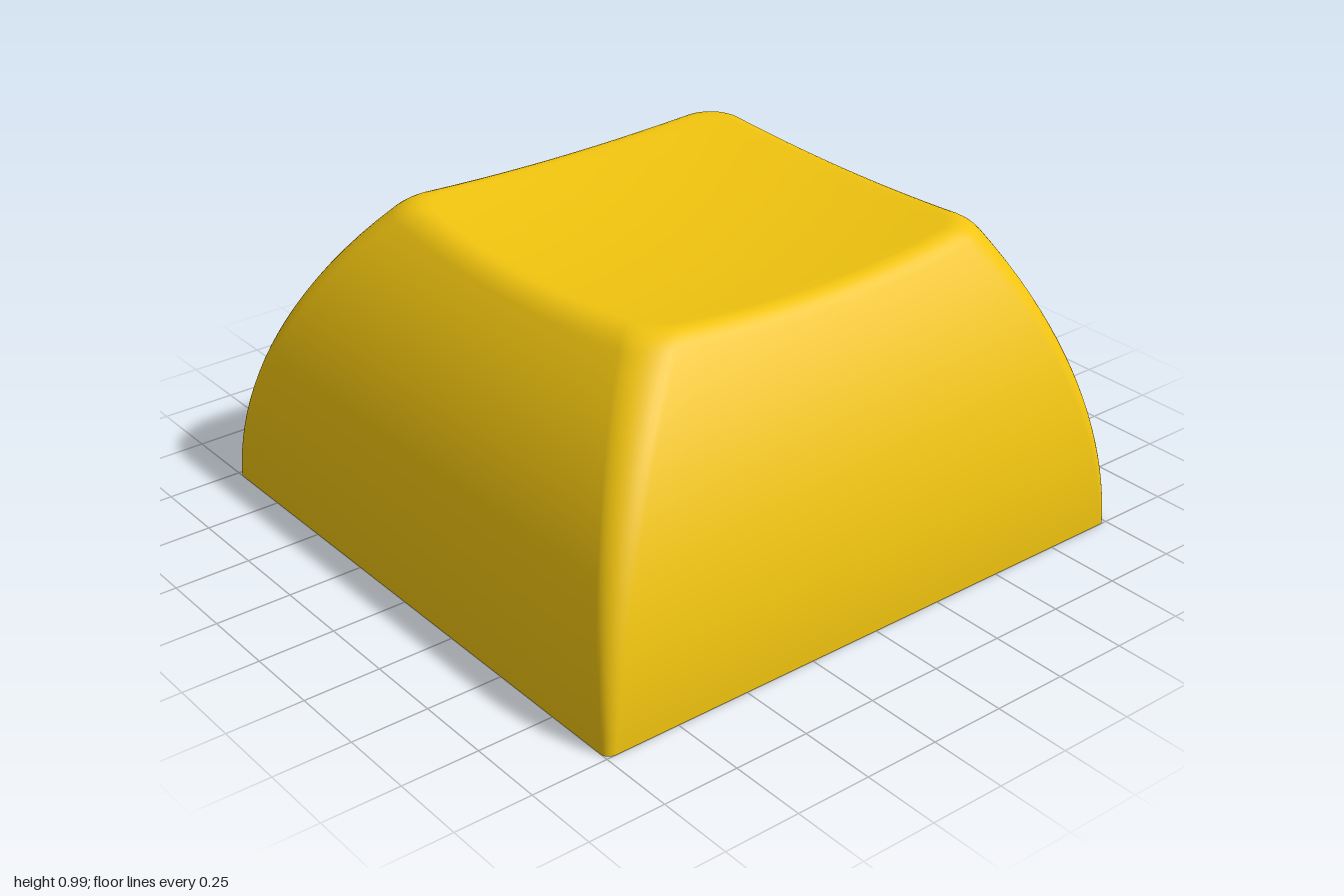
import * as THREE from 'three';

// Distance of a bowed wall from the centre at height y; d is how far it leans in at height h
const bow = (base, d, h, y) => {
  const R = (d * d + h * h) / (2 * d);
  return base - R + Math.sqrt(R * R - y * y);
};

// Scooped top surface
const DISH_Z = -0.08;
const dish = (x, z) => 0.925 + 0.1 * (x * x + (z - DISH_Z) ** 2);

// Unit outline of a rounded square: a, b pick the corner, c, s give the corner arc
function outline(arcSteps = 8, edgeSteps = 14) {
  const pts = [];
  const corners = [[1, 1], [-1, 1], [-1, -1], [1, -1]];
  corners.forEach(([a, b], i) => {
    for (let k = 0; k <= arcSteps; k++) {
      const t = (i + k / arcSteps) * Math.PI / 2;
      pts.push({ a, b, c: Math.cos(t), s: Math.sin(t) });
    }
    const [a2, b2] = corners[(i + 1) % 4];
    const { c, s } = pts[pts.length - 1];
    for (let k = 1; k < edgeSteps; k++) {
      const f = k / edgeSteps;
      pts.push({ a: a + (a2 - a) * f, b: b + (b2 - b) * f, c, s });
    }
  });
  return pts;
}

// Point on the outer wall at height y
function wallPoint(p, y) {
  const hx = bow(1, 0.34, 0.97, y);
  const front = bow(1, 0.41, 0.97, y);
  const back = bow(1, 0.25, 0.97, y);
  const r = 0.03 + 0.09 * y;
  return new THREE.Vector3(
    p.a * (hx - r) + p.c * r,
    y,
    (front - back) / 2 + p.b * ((front + back) / 2 - r) + p.s * r
  );
}

// Joins closed rings of points, listed from the bottom up, into one smooth skin
function skin(rings) {
  const n = rings[0].length;
  const index = [];
  for (let j = 0; j < rings.length - 1; j++) {
    for (let i = 0; i < n; i++) {
      const a = j * n + i, b = j * n + (i + 1) % n;
      index.push(a, a + n, b, b, a + n, b + n);
    }
  }
  const geo = new THREE.BufferGeometry().setFromPoints(rings.flat());
  geo.setIndex(index);
  geo.computeVertexNormals();
  return geo;
}

function outerGeometry(pts) {
  // Where each wall line meets the scooped top
  const tops = pts.map(p => {
    let y = 0.97;
    for (let k = 0; k < 6; k++) {
      const q = wallPoint(p, y);
      y = dish(q.x, q.z);
    }
    return y;
  });
  const rings = [];
  const WALL = 20, FILLET = 6, CAP = 12, SOFT = 0.045;
  for (let j = 0; j <= WALL; j++) {
    rings.push(pts.map((p, i) => wallPoint(p, (tops[i] - SOFT) * j / WALL)));
  }
  // Softened rim
  const inner = pts.map((p, i) => {
    const q = wallPoint(p, tops[i]);
    q.x *= 0.925;
    q.z = DISH_Z + (q.z - DISH_Z) * 0.925;
    q.y = dish(q.x, q.z);
    return q;
  });
  for (let j = 1; j <= FILLET; j++) {
    rings.push(pts.map((p, i) => new THREE.QuadraticBezierCurve3(
      wallPoint(p, tops[i] - SOFT), wallPoint(p, tops[i]), inner[i]
    ).getPoint(j / FILLET)));
  }
  // Scooped top
  for (let j = 1; j <= CAP; j++) {
    const f = Math.max(1 - j / CAP, 0.0005);
    rings.push(inner.map(q => {
      const x = q.x * f, z = DISH_Z + (q.z - DISH_Z) * f;
      return new THREE.Vector3(x, dish(x, z), z);
    }));
  }
  return skin(rings);
}

export function createModel() {
  const group = new THREE.Group();
  const material = new THREE.MeshStandardMaterial({ color: 0xf1c40f });
  const add = (name, geometry, parent = group) => {
    const mesh = new THREE.Mesh(geometry, material);
    mesh.name = name;
    parent.add(mesh);
    return mesh;
  };

  const pts = outline();
  add('outerShell', outerGeometry(pts));

  // Flat bottom rim around the opening
  const OPEN = 0.84, CEILING = 0.8, LEAN = 0.26;
  const rim = new THREE.Shape(pts.map(p => {
    const q = wallPoint(p, 0);
    return new THREE.Vector2(q.x, q.z);
  }));
  rim.holes.push(new THREE.Path(
    [[-1, -1], [-1, 1], [1, 1], [1, -1]].map(([x, y]) => new THREE.Vector2(x * OPEN, y * OPEN))
  ));
  add('bottomRim', new THREE.ShapeGeometry(rim).rotateX(Math.PI / 2));

  // Hollow inside: four bowed walls and a ceiling
  const cavity = new THREE.Group();
  cavity.name = 'cavity';
  group.add(cavity);
  const wall = new THREE.PlaneGeometry(2, CEILING, 1, 12).translate(0, CEILING / 2, 0);
  const pos = wall.attributes.position;
  for (let i = 0; i < pos.count; i++) {
    const w = bow(OPEN, LEAN, CEILING, pos.getY(i));
    pos.setX(i, pos.getX(i) * w);
    pos.setZ(i, -w);
  }
  wall.computeVertexNormals();
  for (let i = 0; i < 4; i++) add('innerWall', wall, cavity).rotation.y = i * Math.PI / 2;
  const roof = 2 * (OPEN - LEAN);
  add('ceiling', new THREE.PlaneGeometry(roof, roof).rotateX(Math.PI / 2).translate(0, CEILING, 0), cavity);

  // Round stem with a cross-shaped socket
  const L = 0.23, W = 0.075;
  const stem = new THREE.Shape().absarc(0, 0, 0.29, 0, Math.PI * 2);
  stem.holes.push(new THREE.Path([
    [L, -W], [L, W], [W, W], [W, L], [-W, L], [-W, W],
    [-L, W], [-L, -W], [-W, -W], [-W, -L], [W, -L], [W, -W]
  ].map(([x, y]) => new THREE.Vector2(x, y))));
  add('stem', new THREE.ExtrudeGeometry(stem, {
    depth: CEILING, bevelEnabled: false, curveSegments: 24
  }).rotateX(Math.PI / 2).translate(0, CEILING, 0));

  return group;
}
